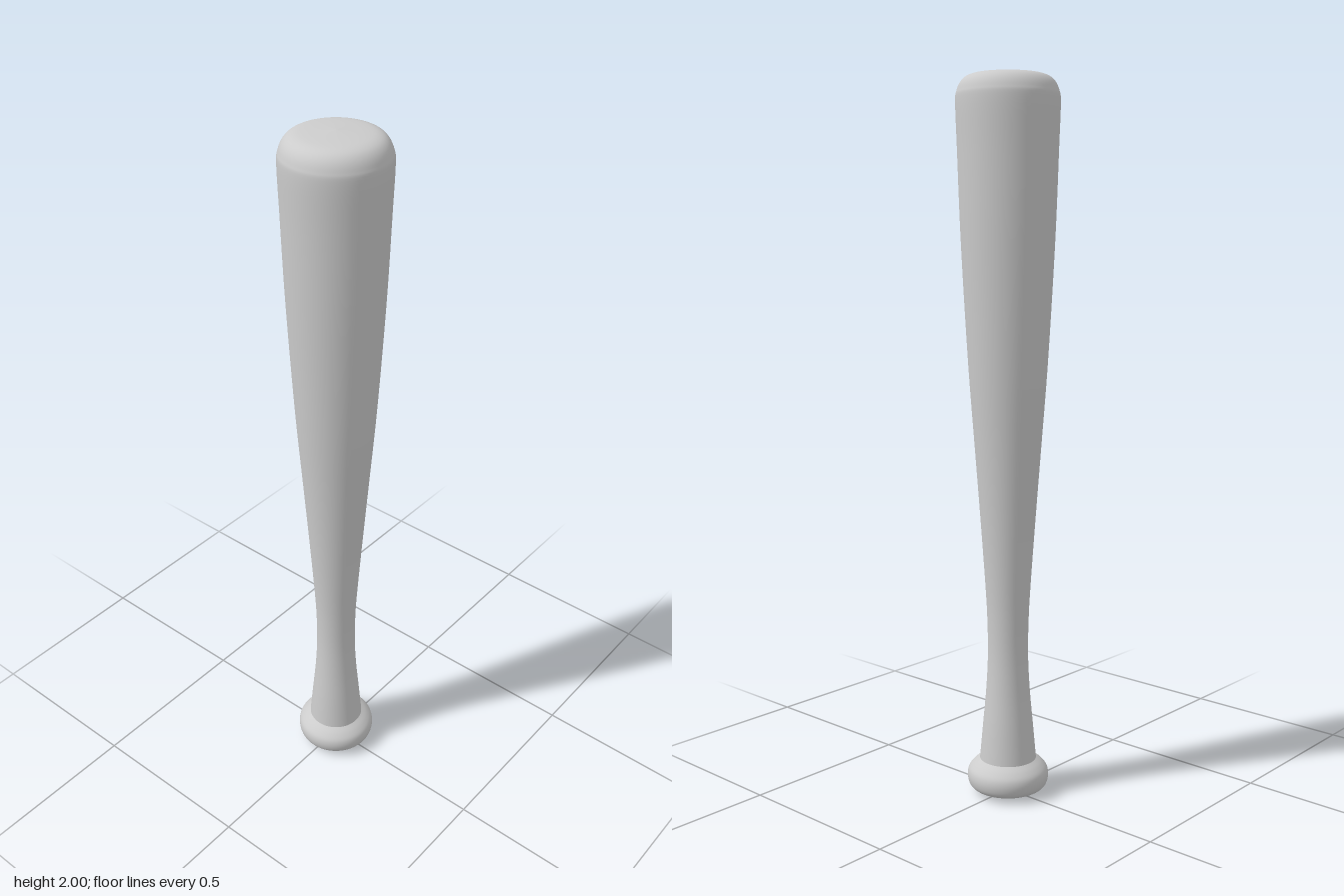
import * as THREE from 'three';

const material = new THREE.MeshStandardMaterial({ color: 0xcccccc });

// Turned part: a smooth curve through [radius, height] points, spun about y
function turned(name, profile, steps) {
  const curve = new THREE.SplineCurve(profile.map(([r, y]) => new THREE.Vector2(r, y)));
  const points = curve.getPoints(steps).map((p) => p.setX(Math.max(p.x, 0)));
  const mesh = new THREE.Mesh(new THREE.LatheGeometry(points, 64), material);
  mesh.name = name;
  return mesh;
}

export function createModel() {
  const bat = new THREE.Group();
  bat.name = 'bat';

  // Rounded knob closing the grip end
  bat.add(turned('knob', [
    [0, 0], [0.05, 0.004], [0.085, 0.01], [0.107, 0.022], [0.115, 0.045],
    [0.112, 0.068], [0.098, 0.086], [0.08, 0.1],
  ], 42));

  // Flared grip, slim handle and widening barrel with a domed tip
  bat.add(turned('handleAndBarrel', [
    [0.08, 0.1], [0.071, 0.2], [0.062, 0.3], [0.057, 0.4], [0.058, 0.5],
    [0.063, 0.6], [0.077, 0.8], [0.092, 1.0], [0.107, 1.2], [0.119, 1.4],
    [0.129, 1.6], [0.136, 1.8], [0.14, 1.92], [0.136, 1.952], [0.124, 1.976],
    [0.104, 1.99], [0.07, 1.996], [0, 2],
  ], 102));

  return bat;
}
